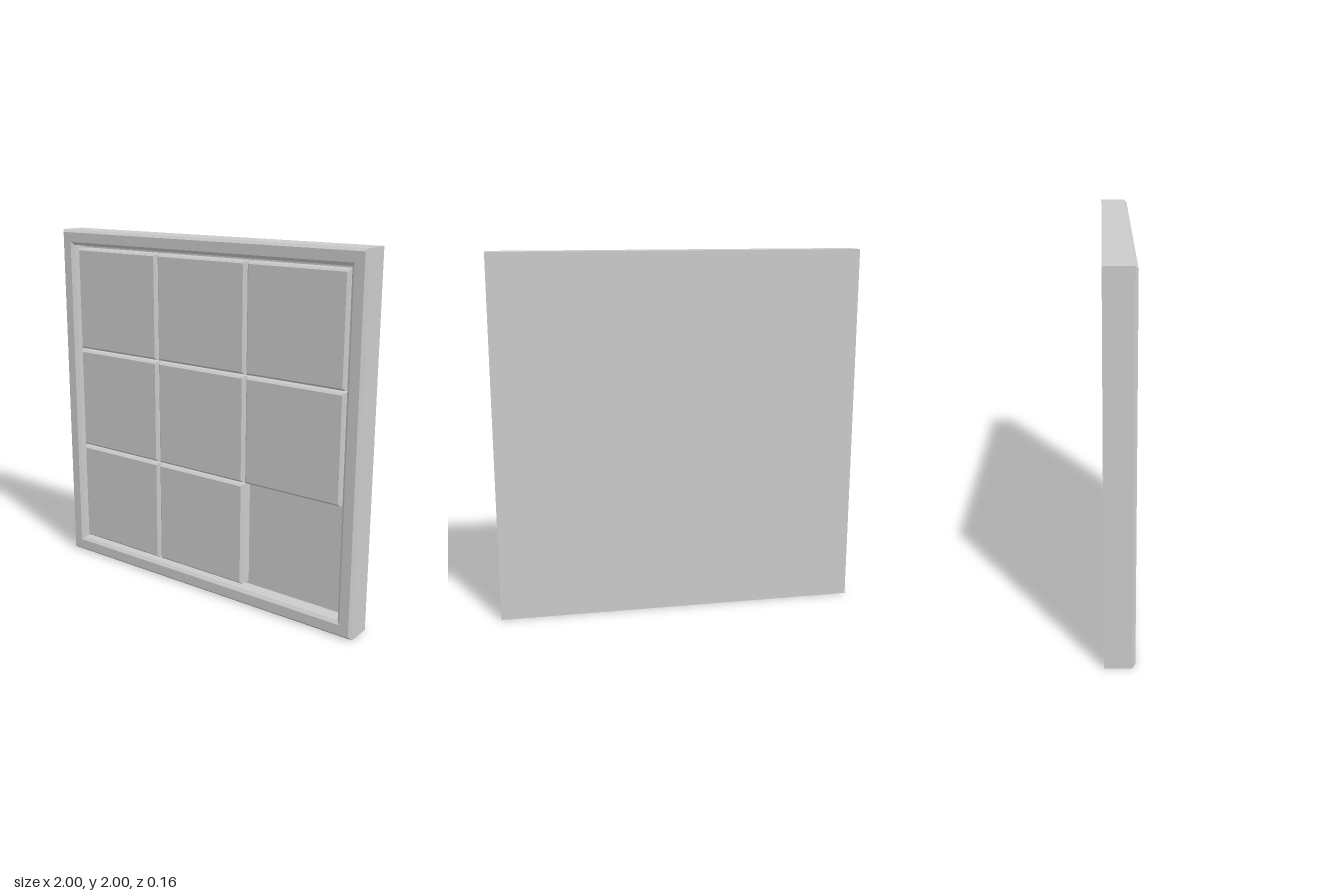
import * as THREE from 'three';

const material = new THREE.MeshStandardMaterial({ color: 0xcccccc, flatShading: true });

const HALF_DEPTH = 0.078; // the tray runs from -HALF_DEPTH to +HALF_DEPTH in z
const FLOOR_Z = -0.015;   // recessed tray floor
const TILE_Z = 0.058;     // front faces of the tiles
const PITCH = 0.6;

// Sweep a profile of [half width, z] points into concentric squares facing +z.
function squareSweep(profile) {
  const points = profile.map(([half, z]) => new THREE.Vector2(half * Math.SQRT2, z));
  const geometry = new THREE.LatheGeometry(points, 4, Math.PI / 4).toNonIndexed();
  geometry.rotateX(Math.PI / 2);
  geometry.computeVertexNormals();
  return geometry;
}

export function createModel() {
  const model = new THREE.Group();
  model.name = 'slidingPuzzle';

  // Square tray: flat back, bevelled outer rim, bevelled opening and floor
  const tray = new THREE.Mesh(squareSweep([
    [0, -HALF_DEPTH], [1, -HALF_DEPTH],
    [1, HALF_DEPTH - 0.015], [0.985, HALF_DEPTH],
    [0.93, HALF_DEPTH], [0.913, HALF_DEPTH - 0.015],
    [0.913, FLOOR_Z], [0, FLOOR_Z],
  ]), material);
  tray.name = 'tray';
  tray.position.y = 1;
  model.add(tray);

  // Eight bevelled tiles, leaving the bottom cell at +x empty
  const tileGeometry = squareSweep([
    [0, FLOOR_Z + 0.001], [0.295, FLOOR_Z + 0.001],
    [0.295, TILE_Z - 0.012], [0.283, TILE_Z], [0, TILE_Z],
  ]);
  const tiles = new THREE.Group();
  tiles.name = 'tiles';
  for (let row = 0; row < 3; row++) {
    for (let column = 0; column < 3; column++) {
      if (row === 2 && column === 2) continue;
      const tile = new THREE.Mesh(tileGeometry, material);
      tile.name = `tile${row * 3 + column + 1}`;
      tile.position.set((column - 1) * PITCH, 1 + (1 - row) * PITCH, 0);
      tiles.add(tile);
    }
  }
  model.add(tiles);

  return model;
}
